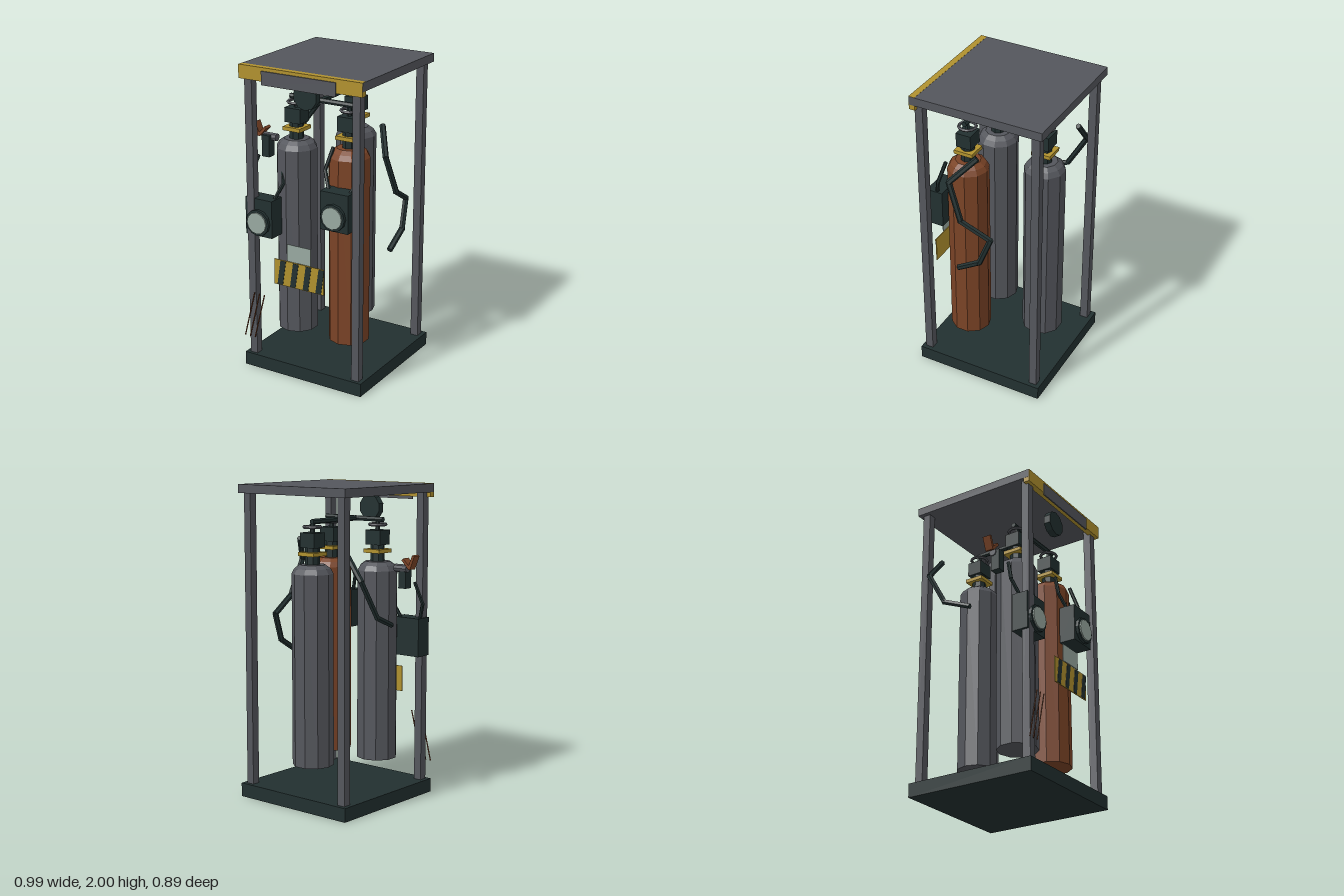
import * as THREE from 'three';

const mat = (name, color) => {
  const m = new THREE.MeshStandardMaterial({ color, flatShading: true });
  m.name = name;
  return m;
};

export function createModel() {
  const steel = mat('steel grey', 0x54565c);
  const dark = mat('dark green black', 0x223030);
  const yellow = mat('warning yellow', 0xb0912e);
  const rust = mat('rust orange', 0x7a4326);
  const pale = mat('pale glass', 0x98a8a0);
  const model = new THREE.Group();
  model.name = 'gasBottleRack';

  const add = (name, geo, material, x = 0, y = 0, z = 0, parent = model) => {
    const m = new THREE.Mesh(geo, material);
    m.name = name;
    m.position.set(x, y, z);
    parent.add(m);
    return m;
  };
  const box = (name, material, w, h, d, x, y, z, parent) =>
    add(name, new THREE.BoxGeometry(w, h, d), material, x, y, z, parent);
  const UP = new THREE.Vector3(0, 1, 0);

  // Straight rods joined along a list of points
  const rods = (name, material, points, r, parent = model) => {
    const g = new THREE.Group();
    g.name = name;
    parent.add(g);
    const p = points.map((a) => new THREE.Vector3(...a));
    for (let i = 1; i < p.length; i++) {
      const d = p[i].clone().sub(p[i - 1]);
      const mid = p[i].clone().add(p[i - 1]).multiplyScalar(0.5);
      const seg = add(name + 'Segment', new THREE.CylinderGeometry(r, r, d.length() + r * 0.6, 6), material, mid.x, mid.y, mid.z, g);
      seg.quaternion.setFromUnitVectors(UP, d.normalize());
    }
    return g;
  };
  // Round disc facing the front
  const disc = (name, material, r, depth, x, y, z, sides, parent) => {
    const geo = new THREE.CylinderGeometry(r, r, depth, sides).rotateX(Math.PI / 2);
    return add(name, geo, material, x, y, z, parent);
  };

  // Frame: base, roof, posts and front trim
  const cx = 0.007, cz = -0.01;
  box('base', dark, 0.866, 0.088, 0.87, cx, 0.044, cz);
  box('roof', steel, 0.866, 0.054, 0.868, cx, 1.972, cz);
  box('roofTrim', yellow, 0.864, 0.086, 0.04, cx, 1.957, 0.406);
  box('headerPlate', steel, 0.52, 0.085, 0.008, 0.005, 1.937, 0.43);
  for (const sx of [-1, 1]) for (const sz of [-1, 1])
    box('post', steel, 0.052, 1.865, 0.052, cx + sx * 0.38, 1.015, -0.007 + sz * 0.385);

  // Gas bottles with valve, collar and handwheel
  const bottle = (name, material, x, z, turn) => {
    const g = new THREE.Group();
    g.name = name;
    g.position.set(x, 0, z);
    model.add(g);
    const profile = [[0, 0.25], [0.13, 0.25], [0.13, 1.46], [0.112, 1.492], [0.08, 1.515], [0, 1.515]]
      .map(([r, y]) => new THREE.Vector2(r, y));
    add('bottleBody', new THREE.LatheGeometry(profile, 10), material, 0, 0, 0, g).rotation.y = turn;
    add('bottleNeck', new THREE.CylinderGeometry(0.045, 0.045, 0.13, 8), dark, 0, 1.56, 0, g);
    box('collar', yellow, 0.126, 0.024, 0.126, 0, 1.58, 0, g);
    box('valveBlock', dark, 0.114, 0.092, 0.1, 0, 1.665, 0, g);
    add('valveStem', new THREE.CylinderGeometry(0.015, 0.015, 0.06, 6), dark, 0, 1.735, 0, g);
    add('handwheel', new THREE.TorusGeometry(0.053, 0.01, 5, 12).rotateX(Math.PI / 2), steel, 0, 1.745, 0, g);
  };
  bottle('rightBottle', steel, -0.177, 0.172, 0);
  bottle('leftBottle', rust, 0.203, 0.172, 0);
  bottle('backBottle', steel, 0, -0.247, Math.PI / 10);

  // Manifold pipes and gauge
  rods('crossPipe', dark, [[-0.215, 1.777, 0.172], [0.24, 1.777, 0.172]], 0.017);
  rods('backPipe', dark, [[0, 1.777, 0.172], [0, 1.777, -0.247]], 0.017);
  disc('gauge', dark, 0.082, 0.045, 0.004, 1.838, 0.335, 10);

  // Breathing masks: case, round glass and a pair of straps
  const mask = (name, x, y) => {
    const g = new THREE.Group();
    g.name = name;
    g.position.set(x, y, 0);
    model.add(g);
    box('maskCase', dark, 0.196, 0.245, 0.11, 0, 0, 0.345, g);
    disc('lensRim', dark, 0.085, 0.02, 0, -0.03, 0.41, 12, g);
    disc('lens', pale, 0.07, 0.009, 0, -0.03, 0.424, 12, g);
    for (const s of [-1, 1])
      rods('strap', dark, [[s * 0.09, 0.355, 0.26], [s * 0.122, 0.22, 0.3], [s * 0.07, 0.1, 0.34]], 0.012, g);
  };
  mask('leftMask', 0.232, 1.17);
  mask('rightMask', -0.317, 1.03);

  // Loose hoses at both sides
  rods('leftHose', dark, [[0.35, 1.635, 0.03], [0.45, 1.49, 0.165], [0.475, 1.25, 0.075],
    [0.443, 1.15, -0.11], [0.458, 0.97, -0.04], [0.455, 0.88, 0.105]], 0.019);
  rods('rightHose', dark, [[-0.33, 1.595, -0.31], [-0.445, 1.45, -0.32],
    [-0.46, 1.22, -0.185], [-0.432, 1.155, -0.015]], 0.018);

  // Torch: grip, barrel and bent lever
  const torch = new THREE.Group();
  torch.name = 'torch';
  model.add(torch);
  box('torchGrip', dark, 0.055, 0.14, 0.06, -0.395, 1.43, 0.17, torch);
  add('torchBarrel', new THREE.CylinderGeometry(0.025, 0.025, 0.095, 8).rotateZ(Math.PI / 2), steel, -0.382, 1.485, 0.155, torch);
  const lever = [[-0.488, 1.565], [-0.458, 1.49], [-0.41, 1.54]];
  for (let i = 1; i < 3; i++) {
    const [a, b] = [lever[i - 1], lever[i]];
    const dx = b[0] - a[0], dy = b[1] - a[1];
    box('torchLever', rust, Math.hypot(dx, dy) + 0.01, 0.018, 0.055, (a[0] + b[0]) / 2, (a[1] + b[1]) / 2, 0.155, torch)
      .rotation.z = Math.atan2(dy, dx);
  }

  // Warning board with slanted stripes, and the label above it
  box('warningBoard', yellow, 0.362, 0.168, 0.006, 0.004, 0.717, 0.438);
  for (let i = 0; i < 4; i++) {
    const s = new THREE.Shape([[-0.032, -0.08], [0.008, -0.08], [0.032, 0.08], [-0.008, 0.08]]
      .map(([x, y]) => new THREE.Vector2(x, y)));
    add('warningStripe', new THREE.ExtrudeGeometry(s, { depth: 0.002, bevelEnabled: false }), dark, -0.122 + i * 0.093, 0.717, 0.441);
  }
  box('labelPlate', pale, 0.172, 0.112, 0.005, 0.005, 0.861, 0.44);

  // Scratches on the front post
  for (let i = 0; i < 3; i++)
    rods('scratch', rust, [[-0.427 + i * 0.038, 0.21, 0.42], [-0.348 + i * 0.038, 0.52, 0.42]], 0.004);

  return model;
}
